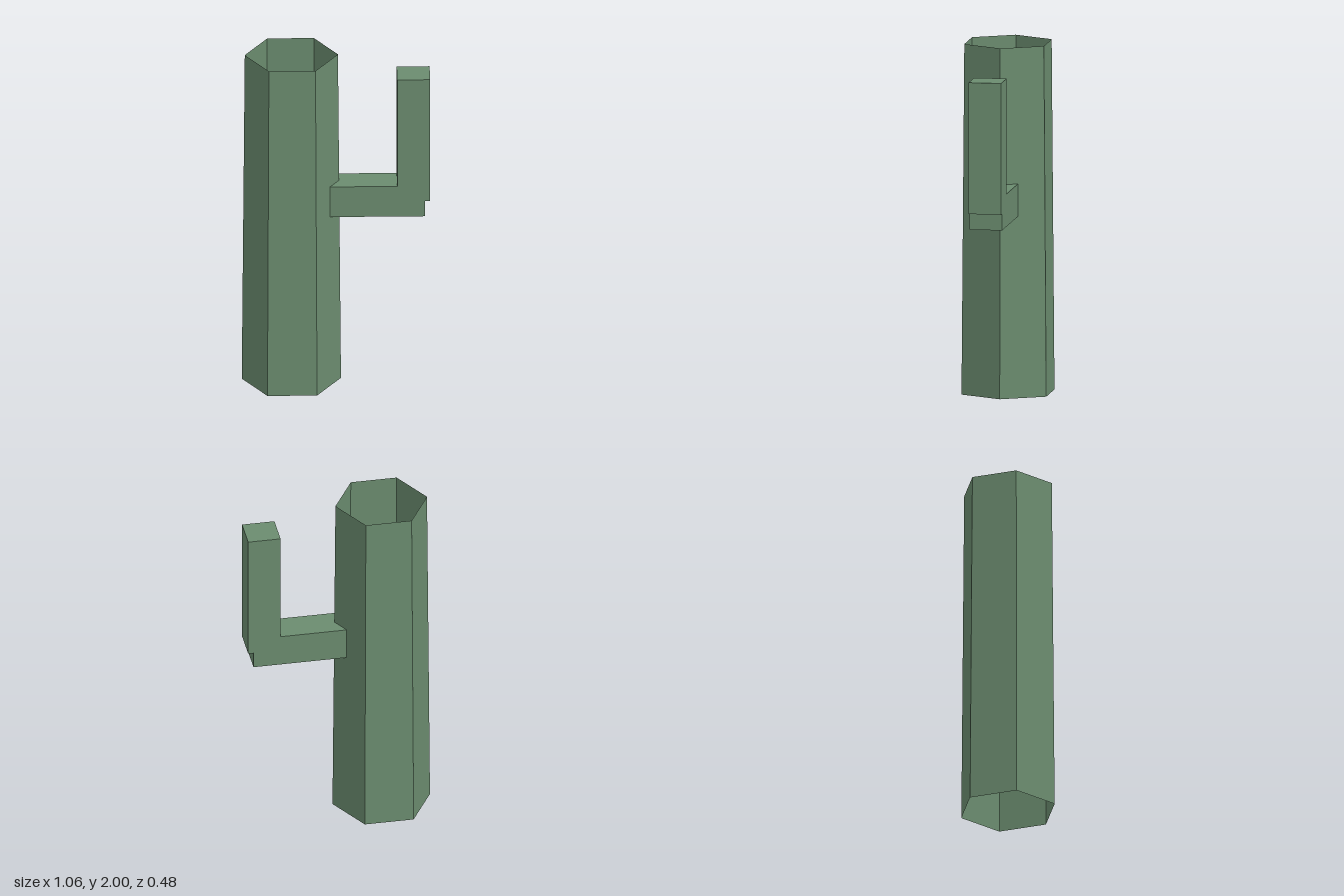
import * as THREE from 'three';

export function createModel() {
  const model = new THREE.Group();
  model.name = 'cactus';

  const green = new THREE.MeshStandardMaterial({ color: 0x6b8c6f, flatShading: true, side: THREE.DoubleSide });
  green.name = 'cactusGreen';

  const add = (name, geometry, x, y, z) => {
    const mesh = new THREE.Mesh(geometry, green);
    mesh.name = name;
    mesh.position.set(x, y, z);
    model.add(mesh);
  };

  // Hollow six-sided trunk, open at both ends, corners pointing along x
  add('trunk', new THREE.CylinderGeometry(0.263, 0.28, 2, 6, 1, true, Math.PI / 6), -0.252, 1, 0);

  // Horizontal arm reaching into the trunk, and its upright end
  const thick = 0.186;
  add('armBranch', new THREE.BoxGeometry(0.625, thick, thick), 0.187, 1.129, 0);
  add('armUpright', new THREE.BoxGeometry(thick, 0.75, thick), 0.437, 1.505, 0);

  return model;
}
